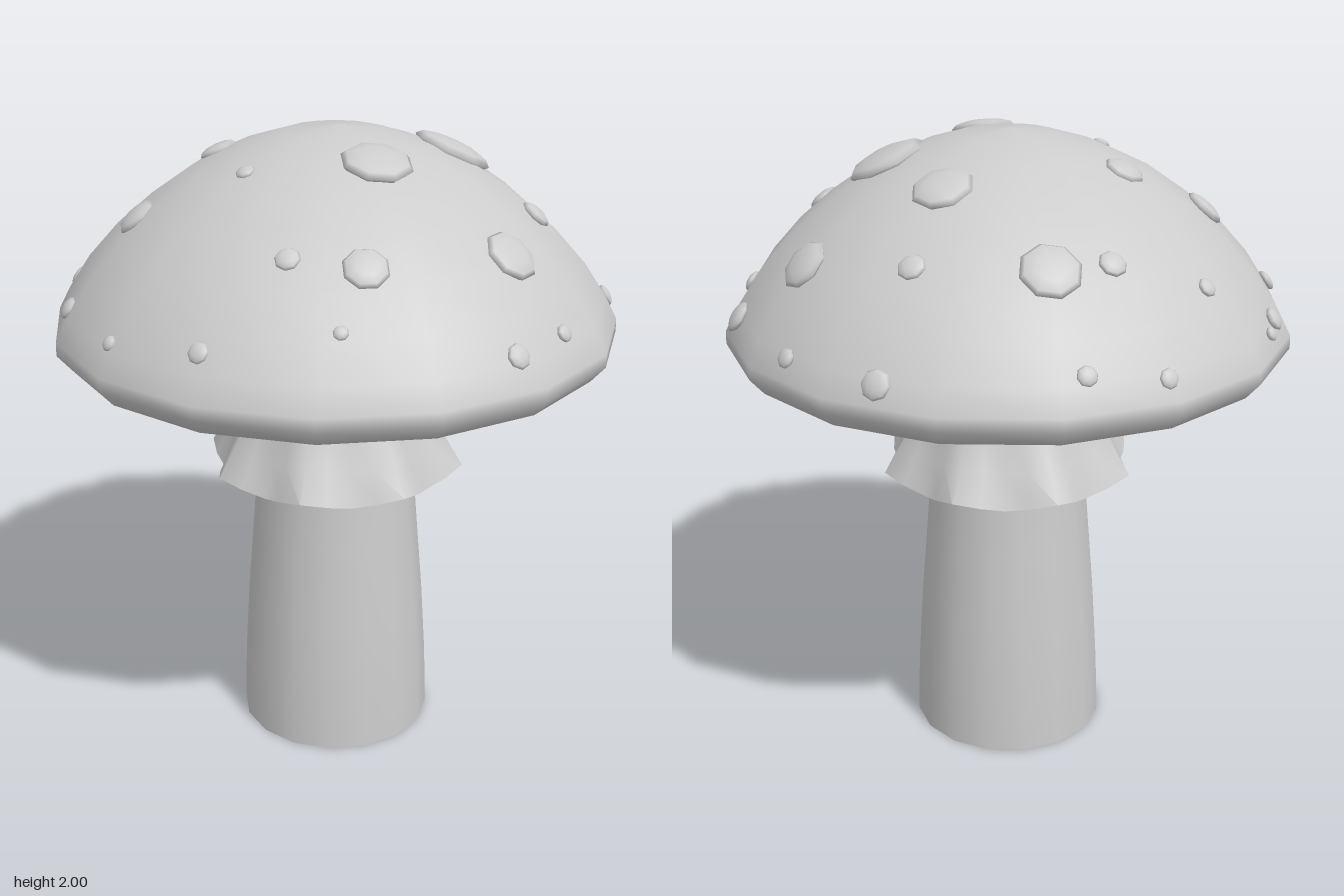
import * as THREE from 'three';
import { toCreasedNormals } from 'three/addons/utils/BufferGeometryUtils.js';

const material = new THREE.MeshStandardMaterial({ color: 0xcccccc, side: THREE.DoubleSide });
material.name = 'pale grey';

const toPoints = (list) => list.map(([r, y]) => new THREE.Vector2(r, y));
const lathe = (list, sides) => new THREE.LatheGeometry(toPoints(list), sides, Math.PI / 16);

function addMesh(parent, name, geometry) {
  const mesh = new THREE.Mesh(geometry, material);
  mesh.name = name;
  parent.add(mesh);
  return mesh;
}

// Upper side of the cap, from the rim to the crown
const dome = [
  [0.873, 1.37], [0.872, 1.41], [0.835, 1.48], [0.765, 1.585], [0.67, 1.69], [0.56, 1.785],
  [0.43, 1.875], [0.29, 1.94], [0.15, 1.983], [0, 2],
];
// Hollow underside, from the stem to the rim
const underside = [[0.2, 1.5], [0.28, 1.39], [0.4, 1.305], [0.52, 1.277], [0.7, 1.285], [0.83, 1.32]];

// Spots: x, z, radius
const spots = [
  [0.01, -0.84, 0.045], [0.33, -0.77, 0.03], [-0.51, -0.64, 0.03], [0.01, -0.62, 0.042],
  [-0.35, -0.51, 0.09], [0.385, -0.56, 0.08], [0.645, -0.53, 0.05], [-0.685, -0.485, 0.03],
  [-0.48, -0.385, 0.042], [0.03, -0.385, 0.093], [0.325, -0.165, 0.125], [-0.69, -0.185, 0.03],
  [0.6, -0.08, 0.05], [0.815, -0.19, 0.035], [-0.37, 0, 0.062], [-0.84, -0.01, 0.022],
  [-0.825, 0.07, 0.037], [-0.54, 0.265, 0.066], [-0.185, 0.3, 0.029], [0.18, 0.22, 0.108],
  [0.58, 0.275, 0.085], [0.745, 0.32, 0.027], [0.645, 0.505, 0.038], [0.235, 0.57, 0.067],
  [0.025, 0.595, 0.037], [0.205, 0.72, 0.022], [-0.17, 0.78, 0.032], [-0.47, 0.675, 0.024],
  [-0.71, 0.415, 0.035],
];

// Height and outward normal of the dome at a plan position
function domeAt(x, z) {
  const r = Math.hypot(x, z);
  let i = 1;
  while (i < dome.length - 2 && dome[i + 1][0] > r) i++;
  const [r0, y0] = dome[i];
  const [r1, y1] = dome[i + 1];
  const y = y0 + ((y1 - y0) * (r0 - r)) / (r0 - r1);
  const normal = new THREE.Vector3((x / r) * (y1 - y0), r0 - r1, (z / r) * (y1 - y0)).normalize();
  return { y, normal };
}

export function createModel() {
  const model = new THREE.Group();
  model.name = 'mushroom';

  addMesh(model, 'cap', lathe([...underside, ...dome], 16));

  // Open, gently tapering stem
  addMesh(model, 'stem', lathe([[0.313, 0], [0.307, 0.2], [0.291, 0.45], [0.27, 0.7], [0.25, 0.95], [0.232, 1.25], [0.22, 1.5]], 16));

  // Thin flared skirt with eight waves along its hem
  const skirt = new THREE.LatheGeometry(toPoints([
    [0.228, 1.42], [0.225, 1.27], [0.262, 1.14], [0.325, 1.01], [0.375, 0.915],
    [0.388, 0.92], [0.34, 1.02], [0.277, 1.15], [0.241, 1.28], [0.233, 1.42],
  ]), 32);
  const p = skirt.attributes.position;
  for (let i = 0; i < p.count; i++) {
    const x = p.getX(i), y = p.getY(i), z = p.getZ(i);
    const wave = Math.cos(8 * Math.atan2(x, z)) * Math.pow(Math.max(0, (1.28 - y) / 0.36), 1.4);
    const k = 1 + (0.03 * wave) / Math.hypot(x, z);
    p.setXYZ(i, x * k, y + 0.018 * wave, z * k);
  }
  addMesh(model, 'skirt', toCreasedNormals(skirt, 1));

  // Flattened eight-sided spots lying on the dome
  const spotGroup = new THREE.Group();
  spotGroup.name = 'spots';
  model.add(spotGroup);
  const spotShape = new THREE.SphereGeometry(1, 8, 6);
  const up = new THREE.Vector3(0, 1, 0);
  for (const [x, z, r] of spots) {
    const { y, normal } = domeAt(x, z);
    const spot = addMesh(spotGroup, 'spot', spotShape);
    spot.position.set(x, y, z);
    spot.quaternion.setFromUnitVectors(up, normal);
    spot.scale.set(r, 0.008 + r * 0.2, r);
  }
  return model;
}
